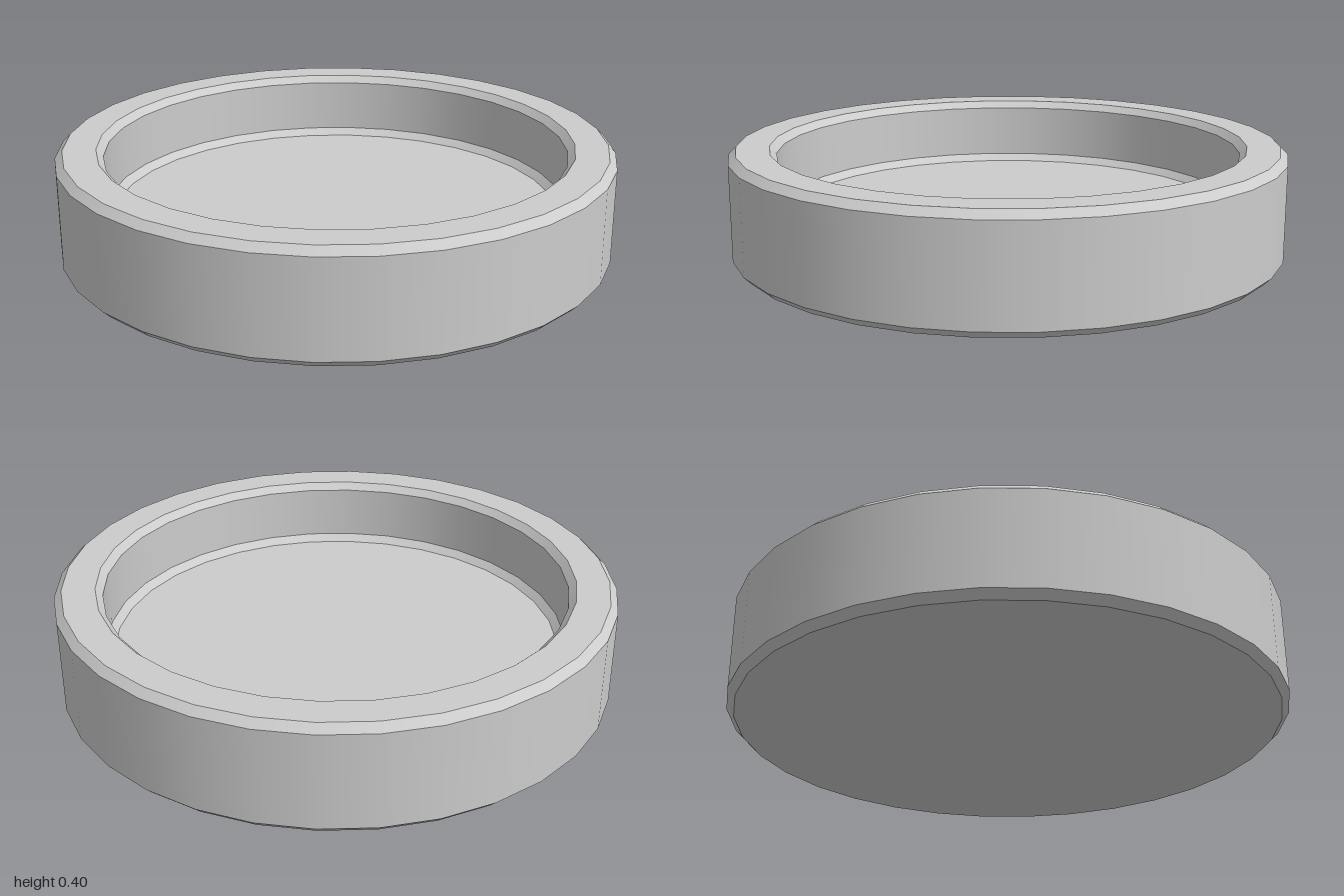
import * as THREE from 'three';
import { mergeGeometries } from 'three/addons/utils/BufferGeometryUtils.js';

const SIDES = 32;
const HALF_STEP = Math.PI / SIDES;

// Smooth around the axis, with a sharp edge at every profile point.
function creasedLathe(profile) {
  const grow = 1 / Math.cos(HALF_STEP); // flats, not corners, lie on the axes
  const points = profile.map(([r, y]) => new THREE.Vector2(r * grow, y));
  const bands = [];
  for (let i = 0; i < points.length - 1; i++) {
    bands.push(new THREE.LatheGeometry([points[i], points[i + 1]], SIDES, HALF_STEP));
  }
  return mergeGeometries(bands);
}

export function createModel() {
  const group = new THREE.Group();
  group.name = 'roundTray';
  const grey = new THREE.MeshStandardMaterial({ color: 0xcccccc });
  grey.name = 'light grey';

  const add = (name, profile) => {
    const mesh = new THREE.Mesh(creasedLathe(profile), grey);
    mesh.name = name;
    group.add(mesh);
  };

  // Underside, bevelled outer wall and flat rim
  add('outerShell', [[0, 0], [0.973, 0], [1, 0.027], [1, 0.373], [0.973, 0.4], [0.855, 0.4]]);
  // Bevelled lip, inner wall, bevelled foot and floor
  add('recess', [[0.855, 0.4], [0.83, 0.374], [0.83, 0.176], [0.805, 0.15], [0, 0.15]]);

  return group;
}
